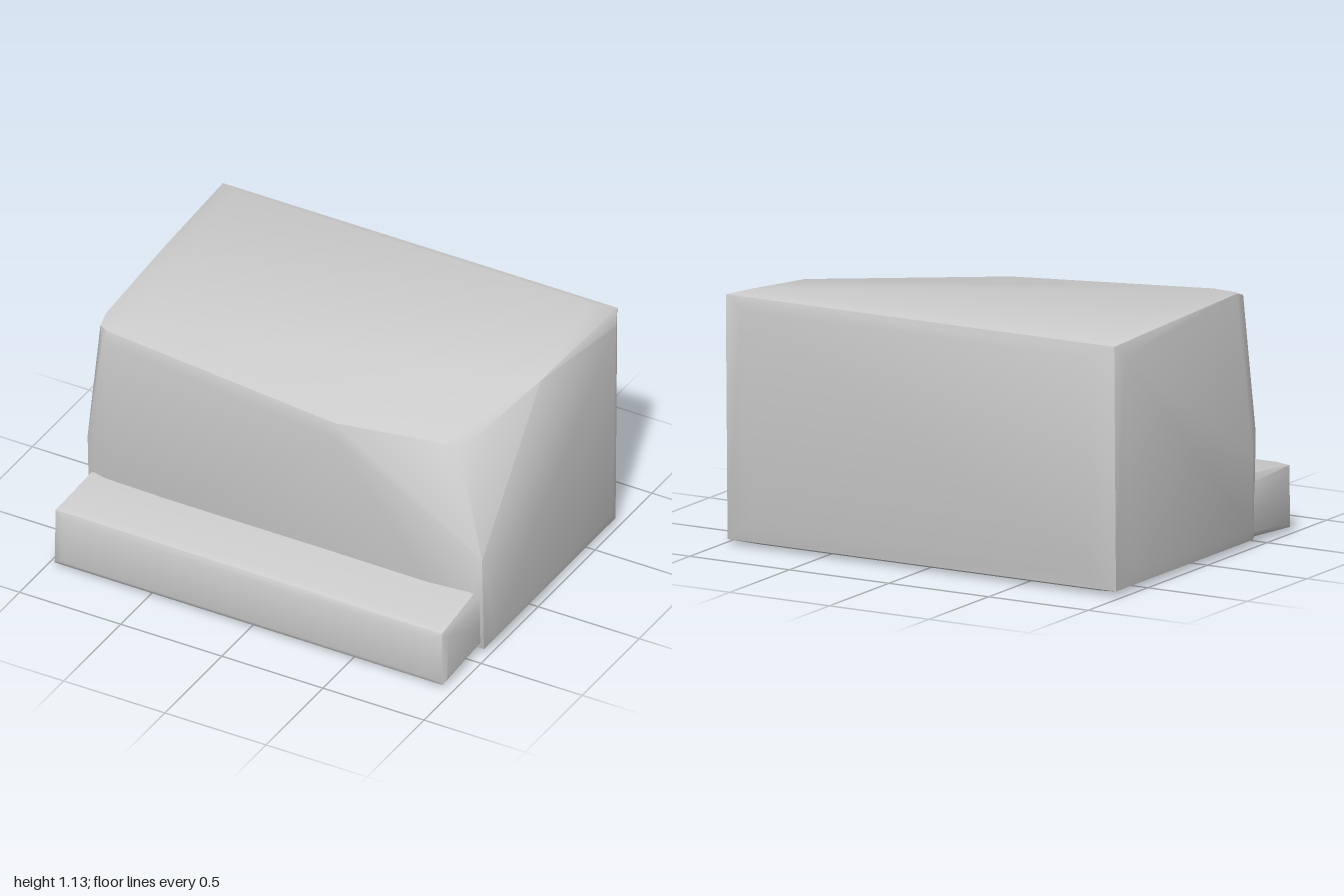
import * as THREE from 'three';
import { ConvexGeometry } from 'three/addons/geometries/ConvexGeometry.js';
import { toCreasedNormals } from 'three/addons/utils/BufferGeometryUtils.js';

const v = (x, y, z) => new THREE.Vector3(x, y, z);

// Three points that cut a box corner off; s is the outward sign on each axis
function bevel(x, y, z, [sx, sy, sz], long = 0.08, short = 0.025) {
  return [
    v(x, y - sy * long, z - sz * long),
    v(x - sx * long * 1.5, y, z - sz * long),
    v(x - sx * long * 1.5, y - sy * long, z),
    v(x - sx * short, y - sy * short, z - sz * short),
  ];
}

function chunk(name, points, material) {
  const mesh = new THREE.Mesh(toCreasedNormals(new ConvexGeometry(points), 0.65), material);
  mesh.name = name;
  return mesh;
}

export function createModel() {
  const group = new THREE.Group();
  group.name = 'chippedStoneBlock';
  const stone = new THREE.MeshStandardMaterial({ color: 0xcccccc, roughness: 0.9 });

  // Main block: worn back corners and lower front corners
  const body = [];
  for (const s of [-1, 1]) {
    body.push(...bevel(s, 1.14, -0.765, [s, 1, -1]));
    body.push(...bevel(s, 0.005, -0.75, [s, -1, -1], 0.1));
    body.push(...bevel(s, 0.005, 0.455, [s, -1, 1]));
    body.push(v(s * 0.975, 0.5, 0.447), v(s, 0.42, 0.38));
  }
  // Front left upper corner, leaning slightly inward
  body.push(
    v(-0.88, 1.05, 0.49), v(-0.86, 1.1, 0.475), v(-0.91, 1.1, 0.45),
    v(-0.92, 1.12, 0.38), v(-0.8, 1.127, 0.39), v(-0.95, 1.12, -0.15),
  );
  // Large chip at the front right upper corner
  body.push(
    v(0.28, 0.95, 0.517), v(0.28, 1.02, 0.507), v(0.25, 1.045, 0.44),
    v(0.72, 0.96, 0.335), v(0.79, 0.93, 0.31), v(0.79, 0.95, 0.25),
    v(0.93, 1.07, -0.15),
  );
  group.add(chunk('mainBlock', body, stone));

  // Low ledge along the front, its back end buried in the block
  const ledge = [];
  for (const [s, x] of [[-1, -0.98], [1, 0.96]]) {
    ledge.push(...bevel(x, s < 0 ? 0.31 : 0.3, 0.76, [s, 1, 1], 0.045, 0.015));
    ledge.push(...bevel(x, 0.01, 0.76, [s, -1, 1], 0.035, 0.012));
    ledge.push(v(x, 0.28, 0.3), v(x - s * 0.03, 0.33, 0.3));
    ledge.push(v(x, 0.07, 0.3), v(x - s * 0.05, 0.035, 0.3));
  }
  group.add(chunk('frontLedge', ledge, stone));

  return group;
}
